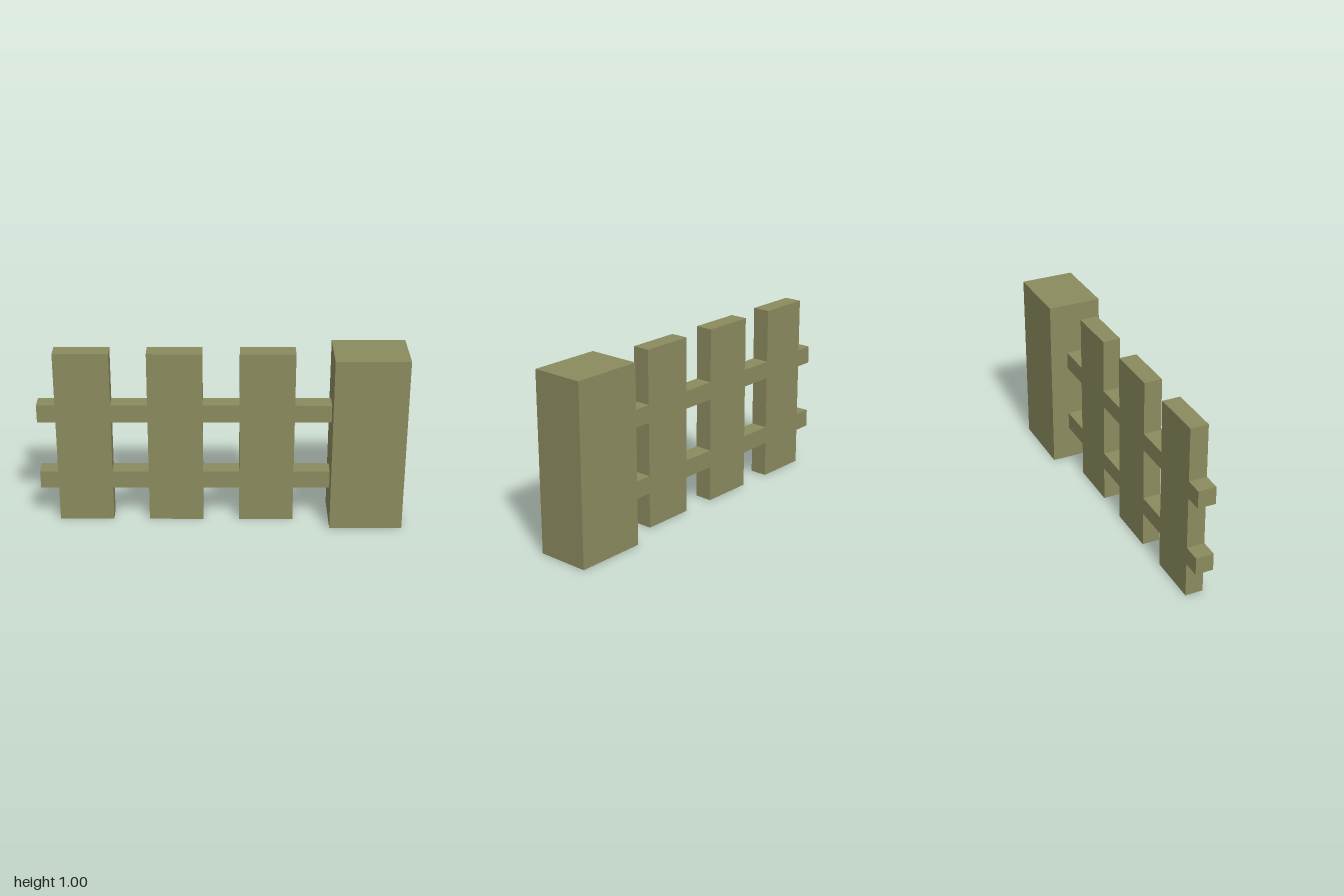
import * as THREE from 'three';

export function createModel() {
  const model = new THREE.Group();
  model.name = 'fence';
  const wood = new THREE.MeshStandardMaterial({ color: 0x8b8b5f });
  wood.name = 'olive wood';

  // Box given by its x and y extents and its depth, centred on z = 0
  function addBox(name, x0, x1, y0, y1, depth) {
    const mesh = new THREE.Mesh(new THREE.BoxGeometry(x1 - x0, y1 - y0, depth), wood);
    mesh.position.set((x0 + x1) / 2, (y0 + y1) / 2, 0);
    mesh.name = name;
    model.add(mesh);
  }

  // Thick end post
  addBox('endPost', 0.6, 1, 0, 1, 0.3);

  // Upright slats
  [-0.9, -0.4, 0.1].forEach((x, i) => addBox(`slat${i + 1}`, x, x + 0.3, 0, 1, 0.1));

  // Two rails, in sections flush between the slats
  const gaps = [[-1, -0.9], [-0.6, -0.4], [-0.1, 0.1], [0.4, 0.6]];
  for (const [name, y] of [['lowerRail', 0.2], ['upperRail', 0.6]]) {
    gaps.forEach(([x0, x1], i) => addBox(`${name}${i + 1}`, x0, x1, y, y + 0.1, 0.1));
  }

  return model;
}
